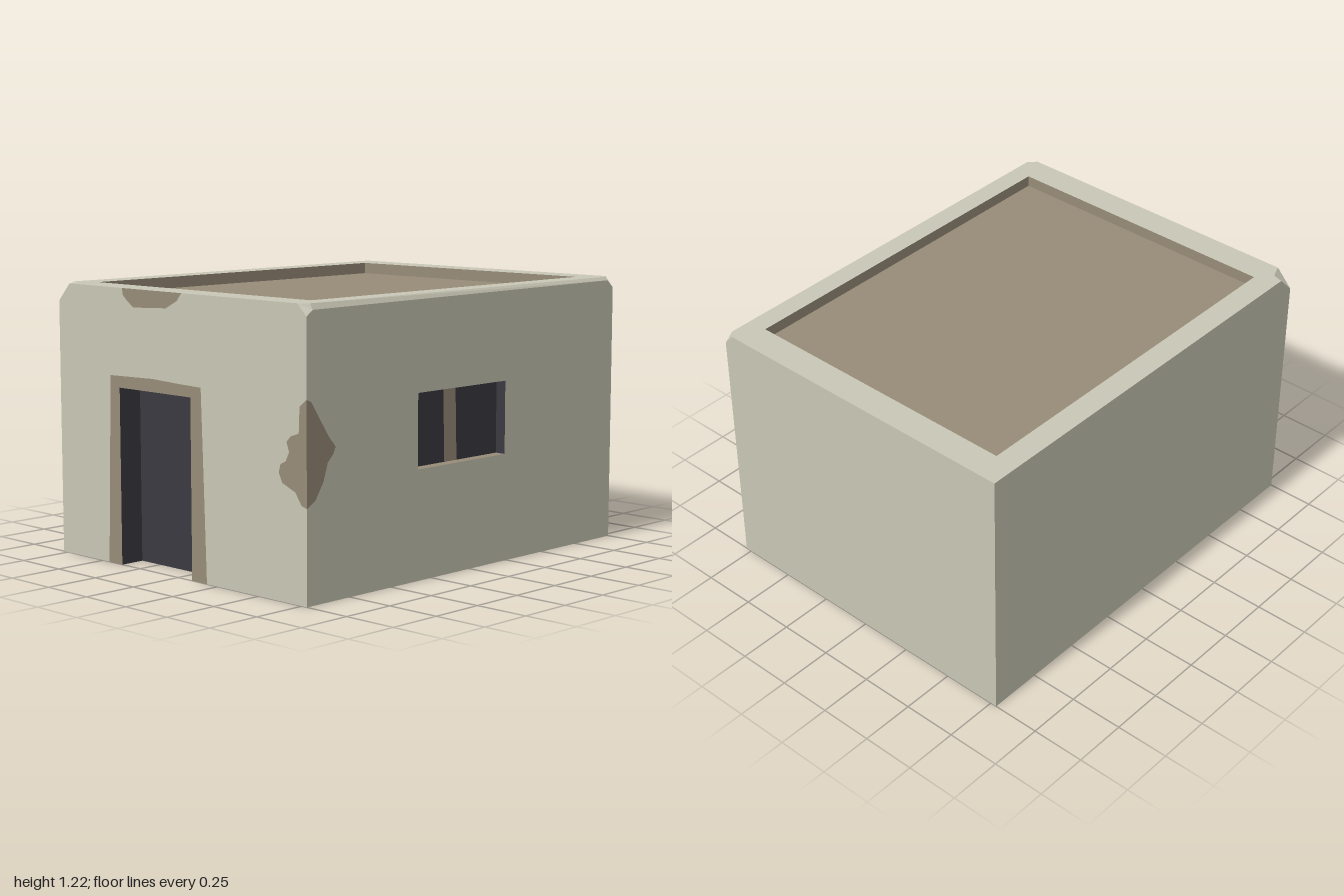
import * as THREE from 'three';

const make = (name, hex) => {
  const m = new THREE.MeshStandardMaterial({ color: hex, side: THREE.DoubleSide });
  m.name = name;
  return m;
};

export function createModel() {
  const group = new THREE.Group();
  const plaster = make('plaster', 0xc9c7b5);
  const brick = make('mud brick', 0x988c79);
  const dark = make('dark opening', 0x3b3a41);

  const add = (name, geo, mat) => {
    const mesh = new THREE.Mesh(geo, mat);
    mesh.name = name;
    group.add(mesh);
    return mesh;
  };
  const vec = (pts) => pts.map(([x, y]) => new THREE.Vector2(x, y));

  // Flat outline, with optional hole, drawn in the xy plane
  const flat = (pts, hole) => {
    const s = new THREE.Shape(vec(pts));
    if (hole) s.holes.push(new THREE.Path(vec(hole)));
    return new THREE.ShapeGeometry(s);
  };
  // Convex polygon in space, corners counter-clockwise from outside
  const poly = (name, mat, p) => {
    const out = [];
    for (let i = 1; i < p.length - 1; i++) out.push(...p[0], ...p[i], ...p[i + 1]);
    const g = new THREE.BufferGeometry();
    g.setAttribute('position', new THREE.Float32BufferAttribute(out, 3));
    g.computeVertexNormals();
    return add(name, g, mat);
  };
  const rect = (x0, x1, y0, y1) => [[x0, y0], [x1, y0], [x1, y1], [x0, y1]];

  const W = 0.78, H = 1.22, D = 1;

  // Front wall, with exposed brick areas fitted into its outline
  const door = { x0: -0.37, x1: 0.09, y: 0.785, z: 0.885 };
  const surround = [[-0.46, 0], [-0.45, 0.19], [-0.445, 0.4], [-0.43, 0.835], [-0.15, 0.842],
    [0.0, 0.836], [0.155, 0.832], [0.17, 0.4], [0.183, 0]];
  const frontPatch = [[W, 0.4], [0.75, 0.41], [0.715, 0.46], [0.64, 0.49], [0.62, 0.53], [0.63, 0.565],
    [0.66, 0.58], [0.68, 0.62], [0.665, 0.66], [0.69, 0.685], [0.735, 0.7], [0.74, 0.81], [W, 0.84]];
  const topPatch = [[0.04, H], [0.01, 1.185], [-0.06, 1.15], [-0.17, 1.145], [-0.27, 1.14],
    [-0.31, 1.165], [-0.34, 1.19], [-0.345, H]];
  add('frontWall', flat([[-W, 0], ...surround, [W, 0], ...frontPatch, [W, 1.17], [0.73, H],
    ...topPatch, [-0.705, H], [-0.725, 1.16], [-W, 1.14]]), plaster).position.z = D;
  add('doorSurround', flat([...surround, [door.x1, 0], [door.x1, door.y], [door.x0, door.y], [door.x0, 0]]),
    brick).position.z = D;
  add('frontCornerPatch', flat(frontPatch), brick).position.z = D;
  add('frontTopPatch', flat(topPatch), brick).position.z = D;

  // Door recess, open at the floor
  const { x0, x1, y: dy, z: dz } = door;
  poly('doorPanel', dark, [[x0, 0, dz], [x1, 0, dz], [x1, dy, dz], [x0, dy, dz]]);
  poly('doorRevealRight', dark, [[x0, 0, D], [x0, 0, dz], [x0, dy, dz], [x0, dy, D]]);
  poly('doorRevealLeft', dark, [[x1, 0, dz], [x1, 0, D], [x1, dy, D], [x1, dy, dz]]);
  poly('doorRevealTop', dark, [[x0, dy, dz], [x1, dy, dz], [x1, dy, D], [x0, dy, D]]);

  // Left side wall (+x) with window hole; outline runs along -z
  const sidePatch = [[-1, 0.84], [-0.975, 0.83], [-0.925, 0.755], [-0.875, 0.68], [-0.835, 0.635],
    [-0.85, 0.605], [-0.88, 0.575], [-0.905, 0.5], [-0.95, 0.43], [-1, 0.4]];
  const win = { z0: 0.34, z1: -0.23, y0: 0.48, y1: 0.805, x: 0.73 };
  const toLeft = (g) => g.rotateY(Math.PI / 2).translate(W, 0, 0);
  add('leftWall', toLeft(flat([[-1, 0], [1, 0], [1, 1.17], [0.96, 1.205], [-0.965, 1.195], [-1, 1.17],
    ...sidePatch], rect(-win.z0, -win.z1, win.y0, win.y1))), plaster);
  add('leftCornerPatch', toLeft(flat(sidePatch)), brick);

  // Window recess: two dark panes, a post and the reveals
  const { z0, z1, y0, y1, x: wx } = win;
  const pane = (name, mat, b0, b1, t0, t1) =>
    poly(name, mat, [[wx, y0, b0], [wx, y0, b1], [wx, y1, t1], [wx, y1, t0]]);
  pane('windowPaneFront', dark, z0, 0.115, z0, 0.125);
  pane('windowPost', brick, 0.115, 0.035, 0.125, 0.045);
  pane('windowPaneBack', dark, 0.035, z1, 0.045, z1);
  poly('windowSill', brick, [[wx, y0, z0], [W, y0, z0], [W, y0, z1], [wx, y0, z1]]);
  poly('windowHead', brick, [[W, y1, z0], [wx, y1, z0], [wx, y1, z1], [W, y1, z1]]);
  poly('windowRevealFront', brick, [[W, y0, z0], [wx, y0, z0], [wx, y1, z0], [W, y1, z0]]);
  poly('windowRevealBack', dark, [[wx, y0, z1], [W, y0, z1], [W, y1, z1], [wx, y1, z1]]);

  // Plain right side wall (-x) and back wall
  add('rightWall', flat([[-1, 0], [1, 0], [1, 1.14], [0.95, 1.17], [0.92, H], [-1, H]])
    .rotateY(-Math.PI / 2).translate(-W, 0, 0), plaster);
  add('backWall', flat([[-W, 0], [W, 0], [W, H], [-0.735, H], [-W, 1.17]])
    .rotateY(Math.PI).translate(0, 0, -D), plaster);

  // Parapet top with the roof opening
  const ix = 0.67, iz = 0.865, roofY = 1.168;
  add('parapetTop', flat([[-0.705, -1], [0.73, -1], [0.765, -0.965], [0.765, 0.96], [0.735, 1], [-W, 1],
    [-W, -0.92], [-0.73, -0.935]], rect(-ix, ix, -iz, iz)).rotateX(-Math.PI / 2).translate(0, H, 0), plaster);

  // Worn edge and chipped corners
  poly('wornLeftEdge', plaster, [[0.765, H, 0.965], [W, 1.195, 0.965], [W, 1.205, -0.96], [0.765, H, -0.96]]);
  poly('frontLeftChip', plaster, [[0.73, H, 1], [W, 1.17, 1], [W, 1.195, 0.965], [0.765, H, 0.965]]);
  poly('backLeftChip', plaster, [[0.765, H, -0.96], [W, 1.205, -0.96], [W, 1.17, -1], [0.735, H, -1]]);
  poly('frontRightChip', plaster, [[-W, 1.14, 1], [-0.725, 1.16, 1], [-0.705, H, 1],
    [-0.73, H, 0.935], [-W, H, 0.92], [-W, 1.17, 0.95]]);

  // Sunken roof and the inner faces of the parapet
  const ring = [[-ix, iz], [ix, iz], [ix, -iz], [-ix, -iz]];
  poly('roof', brick, ring.map(([x, z]) => [x, roofY, z]));
  ring.forEach(([ax, az], i) => {
    const [bx, bz] = ring[(i + 1) % 4];
    poly('parapetInside', brick, [[bx, roofY, bz], [ax, roofY, az], [ax, H, az], [bx, H, bz]]);
  });

  return group;
}
